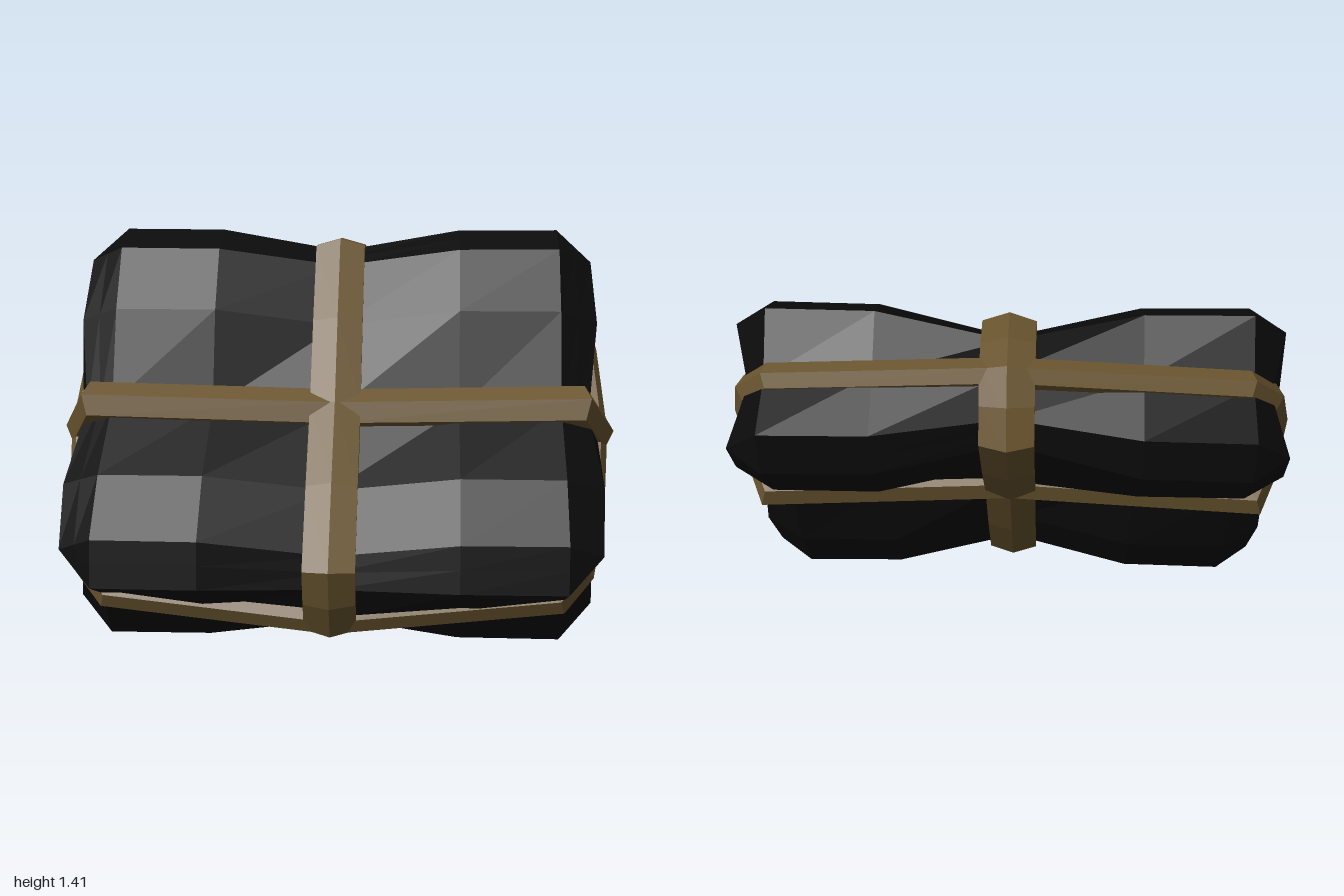
import * as THREE from 'three';

const cloth = new THREE.MeshStandardMaterial({ color: 0x0b0b0b });
cloth.name = 'blackCloth';
const leather = new THREE.MeshStandardMaterial({ color: 0x6a552f });
leather.name = 'brownStrap';

function faceted(geometry) {
  const flat = geometry.index ? geometry.toNonIndexed() : geometry;
  flat.computeVertexNormals();
  return flat;
}

function addMesh(parent, name, geometry, material) {
  const mesh = new THREE.Mesh(faceted(geometry), material);
  mesh.name = name;
  parent.add(mesh);
}

// Soft bundle: a gridded box whose faces are pinched where the straps run
function bundleGeometry() {
  const gridX = [0, 0.44, 0.8];
  const gridY = [0, 0.33, 0.58];
  const faceX = [[0.94, 0.915, 0.865], [0.90, 0.935, 0.92]]; // side faces, by z and y step
  const faceY = [[0.74, 0.70, 0.655], [0.68, 0.72, 0.72]]; // end faces, by z and x step
  const faceZ = [[0.14, 0.177, 0.19], [0.16, 0.285, 0.30], [0.18, 0.285, 0.305]]; // broad faces, by x and y step
  const lerp = THREE.MathUtils.lerp;

  const geometry = new THREE.BoxGeometry(6, 6, 4, 6, 6, 4);
  const pos = geometry.attributes.position;
  for (let v = 0; v < pos.count; v++) {
    const grid = [pos.getX(v), pos.getY(v), pos.getZ(v)].map(Math.round);
    const [i, j, k] = grid.map(Math.abs);
    // Vertices shared by several faces fall halfway, which bevels the edges
    const share = 1 / ((i === 3) + (j === 3) + (k === 2));
    const a = Math.min(i, 2), b = Math.min(j, 2), c = Math.min(k, 1);
    const depth = faceZ[a][b];
    const x = i < 3 ? gridX[i] : lerp(gridX[2], faceX[c][b], share);
    const y = j < 3 ? gridY[j] : lerp(gridY[2], faceY[c][a], share);
    const z = k < 2 ? depth * 0.72 * k : lerp(depth * 0.72, depth, share);
    pos.setXYZ(v, x * Math.sign(grid[0]), y * Math.sign(grid[1]), z * Math.sign(grid[2]));
  }
  return geometry;
}

// Closed strap with a raised centre ridge; the quarter path (a, b) is mirrored into a loop
function strapGeometry(quarter, halfWidth, ridge, place) {
  const half = [...quarter, ...quarter.slice(0, -1).reverse().map(([a, b]) => [-a, b])];
  const loop = [...half, ...half.slice(1, -1).map(([a, b]) => [-a, -b])];
  const n = loop.length;
  const section = [[-halfWidth, -0.06], [-halfWidth, 0], [0, ridge], [halfWidth, 0], [halfWidth, -0.06]];
  const normal = (p, q) => new THREE.Vector2(q[1] - p[1], p[0] - q[0]).normalize();

  const vertices = [];
  loop.forEach((p, i) => {
    const before = normal(loop[(i + n - 1) % n], p);
    const after = normal(p, loop[(i + 1) % n]);
    const miter = before.clone().add(after).normalize();
    miter.divideScalar(Math.max(miter.dot(after), 0.5));
    for (const [w, out] of section) {
      vertices.push(...place(p[0] + miter.x * out, p[1] + miter.y * out, w));
    }
  });

  const index = [];
  const m = section.length;
  for (let i = 0; i < n; i++) {
    for (let s = 0; s < m - 1; s++) {
      const p = i * m + s;
      const q = ((i + 1) % n) * m + s;
      index.push(p, q, q + 1, p, q + 1, p + 1);
    }
  }
  const geometry = new THREE.BufferGeometry();
  geometry.setAttribute('position', new THREE.Float32BufferAttribute(vertices, 3));
  geometry.setIndex(index);
  return geometry;
}

export function createModel() {
  const model = new THREE.Group();
  model.name = 'strappedBundle';

  // Everything is built upright, then leaned back
  const bundle = new THREE.Group();
  bundle.name = 'leaningBundle';
  bundle.position.y = 0.705;
  bundle.rotation.x = -0.656;
  model.add(bundle);

  addMesh(bundle, 'clothBundle', bundleGeometry(), cloth);

  // Strap running lengthwise around the middle
  addMesh(bundle, 'lengthwiseStrap', strapGeometry(
    [[0.775, 0], [0.725, 0.11], [0.65, 0.218], [0.33, 0.213], [0, 0.185]],
    0.09, 0.025, (a, b, w) => [w, a, b]), leather);

  // Strap running crosswise around the waist
  addMesh(bundle, 'crosswiseStrap', strapGeometry(
    [[0.175, 0], [0.217, 0.88], [0, 0.97]],
    0.068, 0.03, (a, b, w) => [b, w, a]), leather);

  // Strap running around the rim
  addMesh(bundle, 'rimStrap', strapGeometry(
    [[0.955, 0], [0.93, 0.33], [0.885, 0.56], [0.79, 0.678], [0, 0.765]],
    0.045, 0.025, (a, b, w) => [a, b, w]), leather);

  return model;
}
